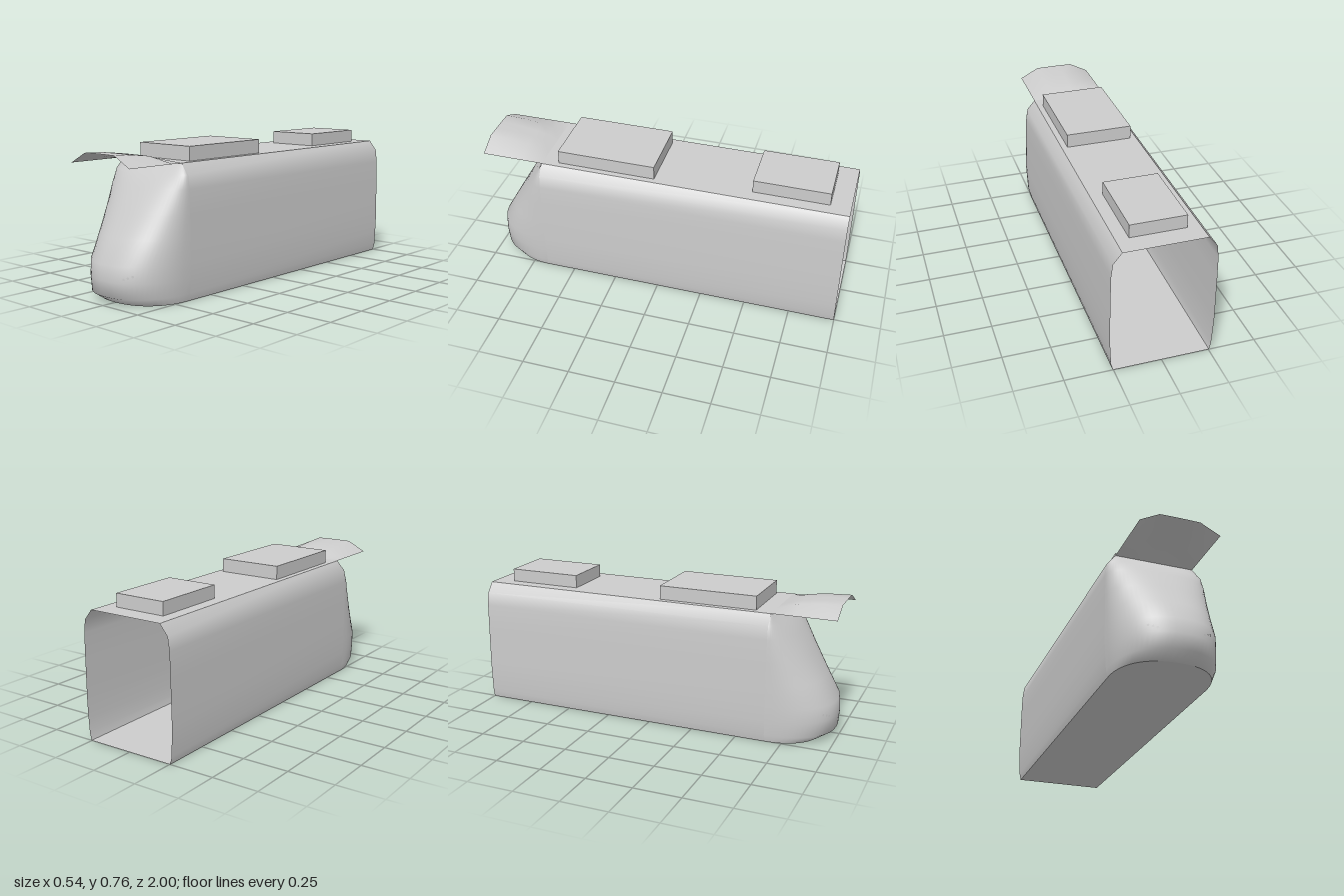
import * as THREE from 'three';

const BACK = -1, JOIN = 0.66, ROOF = 0.685, POWER = 2.3;

// levels of the shell: [height, half width, z of the nose tip]
const LEVELS = [
  [0, 0.253, 0.92], [0.04, 0.262, 0.983], [0.12, 0.266, 0.989], [0.2, 0.269, 0.983],
  [0.32, 0.268, 0.913], [0.44, 0.267, 0.842], [0.56, 0.265, 0.77],
  [0.63, 0.256, 0.715], [ROOF, 0.212, JOIN],
];

// surface through rows of points, every row having the same count
function grid(rows) {
  const n = rows[0].length, index = [];
  for (let i = 0; i < rows.length - 1; i++) {
    for (let j = 0; j < n - 1; j++) {
      const a = i * n + j;
      index.push(a, a + 1, a + n + 1, a, a + n + 1, a + n);
    }
  }
  const geometry = new THREE.BufferGeometry();
  geometry.setAttribute('position', new THREE.Float32BufferAttribute(rows.flat(2), 3));
  geometry.setIndex(index);
  geometry.computeVertexNormals();
  return geometry;
}

// rounded nose outline at one level, from right to left
function noseRow([y, w, tip], segments = 32) {
  const row = [];
  for (let i = 0; i <= segments; i++) {
    const a = Math.PI * (1 - i / segments);
    const c = Math.cos(a), s = Math.max(0, Math.sin(a));
    row.push([
      w * Math.sign(c) * Math.abs(c) ** (2 / POWER), y,
      JOIN + (tip - JOIN) * s ** (2 / POWER),
    ]);
  }
  return row;
}

export function createModel() {
  const model = new THREE.Group();
  const grey = new THREE.MeshStandardMaterial({ color: 0xcccccc, side: THREE.DoubleSide });
  grey.name = 'bodyGrey';

  const add = (name, geometry) => {
    const mesh = new THREE.Mesh(geometry, grey);
    mesh.name = name;
    model.add(mesh);
    return mesh;
  };

  // long side walls, open at the back
  add('rightWall', grid(LEVELS.map(([y, w]) => [[-w, y, BACK], [-w, y, JOIN]])));
  add('leftWall', grid(LEVELS.map(([y, w]) => [[w, y, JOIN], [w, y, BACK]])));

  // sloping rounded nose
  add('nose', grid(LEVELS.map((level) => noseRow(level))));

  // flat roof
  const roofHalf = LEVELS[LEVELS.length - 1][1];
  add('roof', grid([JOIN, BACK].map((z) => [[-roofHalf, ROOF, z], [roofHalf, ROOF, z]])));

  // floor following the nose outline
  const half = LEVELS[0][1];
  const outline = [[-half, 0, BACK], ...noseRow(LEVELS[0]), [half, 0, BACK]];
  const floor = new THREE.ShapeGeometry(
    new THREE.Shape(outline.map(([x, , z]) => new THREE.Vector2(x, z))));
  add('floor', floor.rotateX(Math.PI / 2));

  // arched visor over the windscreen
  const arch = [[-0.212, 0], [-0.107, 0.98], [-0.03, 1], [0.03, 1], [0.107, 0.98], [0.212, 0]];
  const rise = [[1, 0.056], [0.89, 0.051], [0.78, 0.038], [0.72, 0.021], [JOIN, 0]];
  add('visor', grid(rise.map(([z, h]) => arch.map(([x, k]) => [x, ROOF + h * k, z]))));

  // roof equipment boxes: [name, width, height, back z, front z]
  for (const [name, w, h, z0, z1] of [
    ['frontRoofBox', 0.36, 0.074, 0.035, 0.572],
    ['rearRoofBox', 0.29, 0.07, -0.893, -0.488],
  ]) {
    add(name, new THREE.BoxGeometry(w, h, z1 - z0))
      .position.set(0, ROOF + h / 2, (z0 + z1) / 2);
  }

  // three small six-sided lamps on each side of the nose
  const noseZ = (x) => JOIN + 0.327 * (1 - (Math.abs(x) / 0.267) ** POWER) ** (1 / POWER);
  const lamp = new THREE.CircleGeometry(0.007, 6);
  for (const side of [-1, 1]) {
    for (const [px, y] of [[0.117, 0.141], [0.136, 0.149], [0.156, 0.157]]) {
      const x = side * px;
      const slope = (noseZ(x + 0.002) - noseZ(x - 0.002)) / 0.004;
      const normal = new THREE.Vector3(-slope, 0, 1).normalize();
      const mesh = add(side > 0 ? 'leftLamp' : 'rightLamp', lamp);
      mesh.position.set(x, y, noseZ(x)).addScaledVector(normal, 0.002);
      mesh.lookAt(mesh.position.clone().add(normal));
    }
  }
  return model;
}
